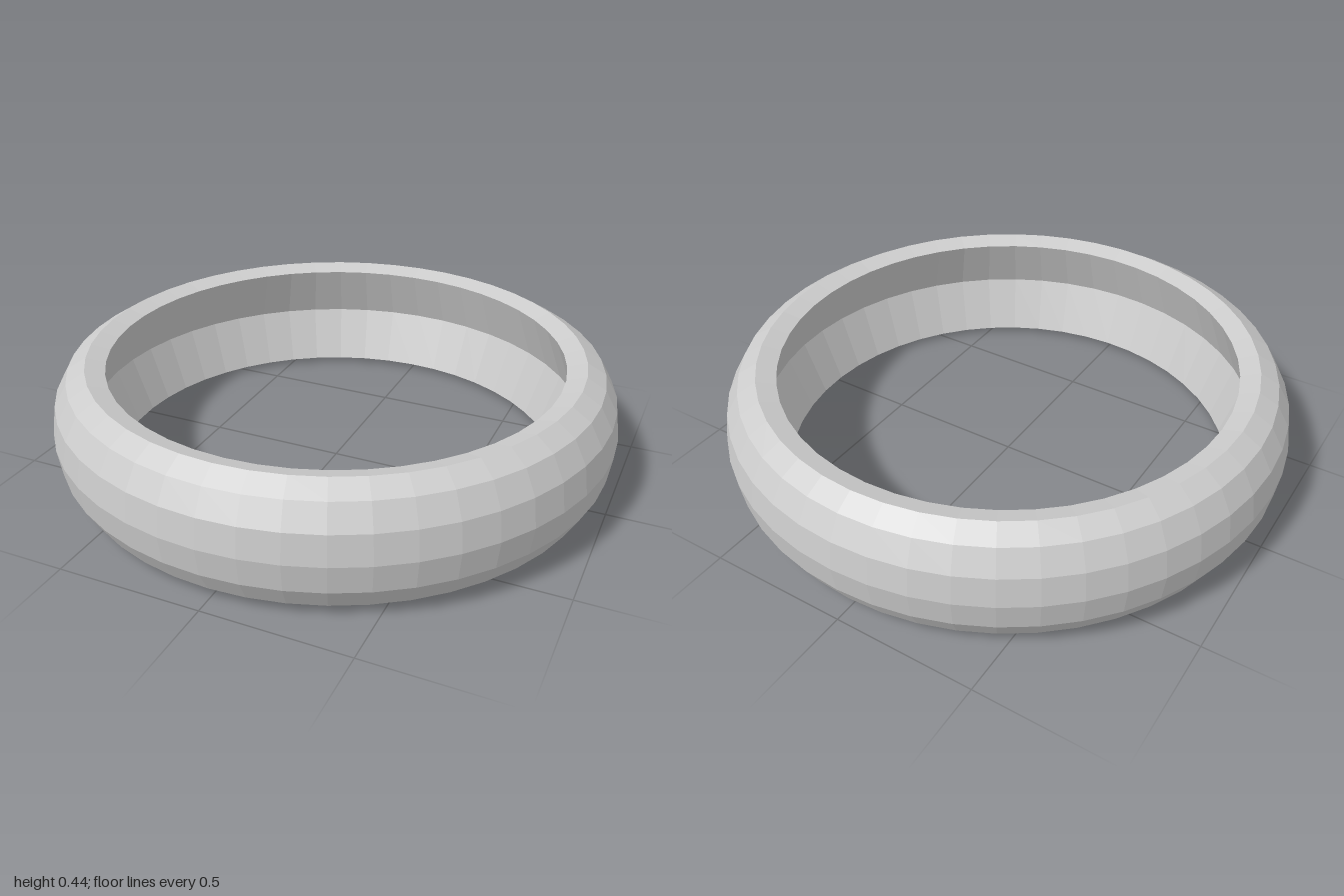
import * as THREE from 'three';

const SEGMENTS = 48;
const MID = 0.22; // half the band's height

// Upper half of the cross-section: [radius, height above the middle]
const OUTER = [[1.0, 0], [0.985, 0.1], [0.94, 0.18], [0.874, 0.22]];
const INNER = [[0.806, 0.2], [0.88, 0]];

export function createModel() {
  const group = new THREE.Group();
  group.name = 'ring';

  // Closed profile: up the domed outside, over the rim, down the hollowed inside
  const upper = [...OUTER, ...INNER];
  const lower = upper.slice(1, -1).reverse().map(([r, h]) => [r, -h]);
  const profile = [...upper, ...lower, upper[0]]
    .map(([r, h]) => new THREE.Vector2(r, MID + h));

  const band = new THREE.Mesh(
    new THREE.LatheGeometry(profile, SEGMENTS),
    new THREE.MeshStandardMaterial({ color: 0xcccccc, flatShading: true })
  );
  band.name = 'band';
  group.add(band);
  return group;
}
